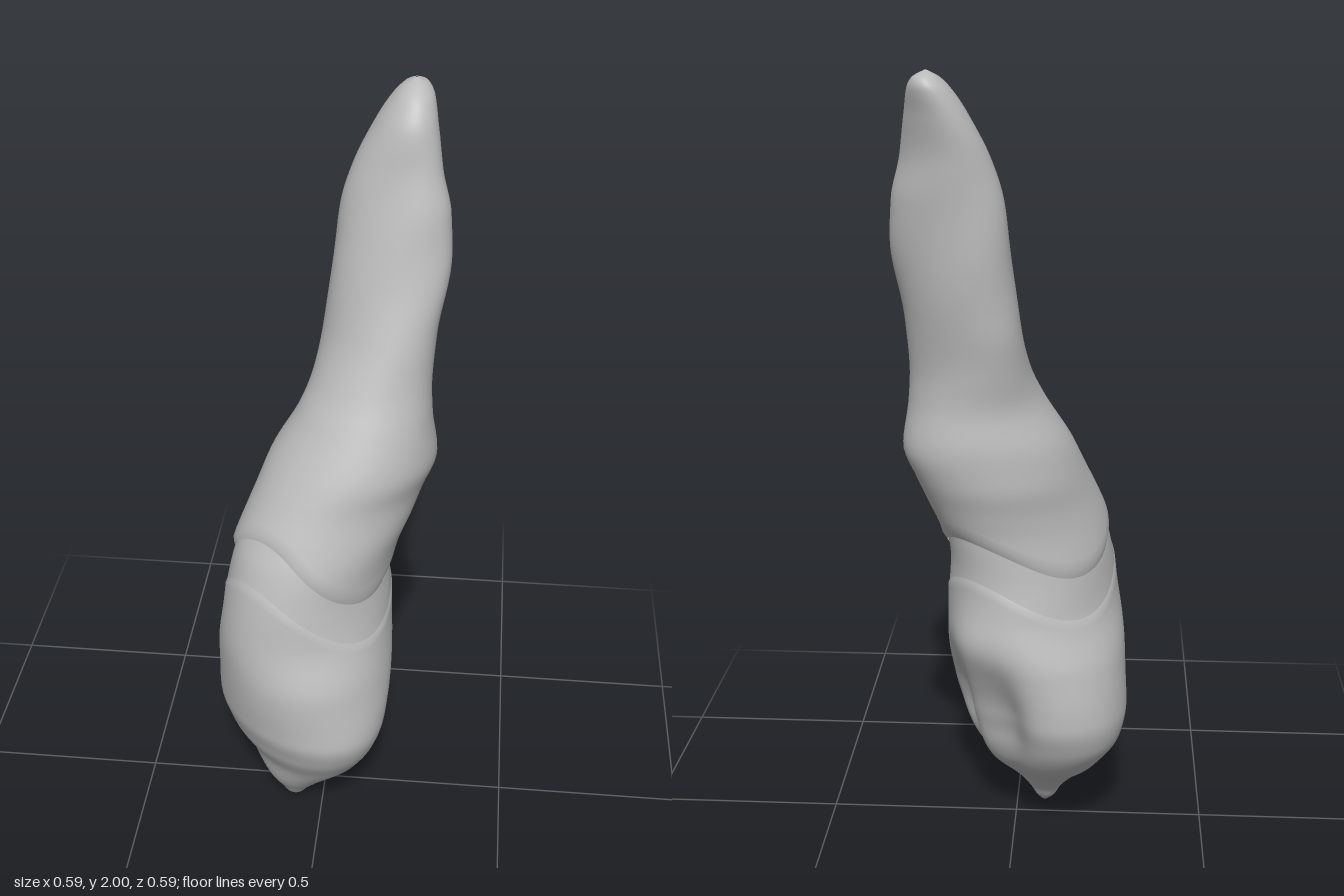
import * as THREE from 'three';

// Cross-sections: height, x min, x max, z min, z max, skew of the ellipse
const SECTIONS = [
  [0, -0.082, -0.068, 0.063, 0.077, 0],
  [0.02, -0.105, -0.05, 0.04, 0.1, 0],
  [0.05, -0.122, -0.03, 0.02, 0.122, 0.05],
  [0.1, -0.16, 0.012, -0.03, 0.16, 0.15],
  [0.2, -0.23, 0.115, -0.16, 0.222, 0.3],
  [0.28, -0.28, 0.155, -0.215, 0.27, 0.3],
  [0.36, -0.295, 0.175, -0.238, 0.295, 0.25],
  [0.5, -0.287, 0.185, -0.24, 0.29, 0.06],
  [0.65, -0.266, 0.178, -0.212, 0.257, -0.14],
  [0.75, -0.255, 0.176, -0.205, 0.24, -0.16],
  [0.85, -0.236, 0.195, -0.205, 0.222, -0.18],
  [0.92, -0.212, 0.222, -0.215, 0.198, -0.18],
  [1.0, -0.18, 0.25, -0.235, 0.165, -0.16],
  [1.08, -0.145, 0.28, -0.24, 0.138, -0.1],
  [1.2, -0.075, 0.264, -0.225, 0.085, 0],
  [1.28, -0.045, 0.257, -0.232, 0.046, 0.12],
  [1.4, -0.02, 0.266, -0.25, 0, 0.25],
  [1.6, 0.002, 0.291, -0.265, -0.06, 0.26],
  [1.7, 0.016, 0.287, -0.27, -0.085, 0.27],
  [1.8, 0.045, 0.262, -0.276, -0.11, 0.27],
  [1.9, 0.095, 0.247, -0.29, -0.13, 0.22],
  [1.96, 0.135, 0.236, -0.296, -0.165, 0.1],
  [1.985, 0.16, 0.221, -0.285, -0.198, 0],
  [2.0, 0.187, 0.193, -0.243, -0.237, 0],
];

// Smooth interpolation of the sections at height y
function sectionAt(y) {
  const S = SECTIONS, n = S.length;
  let i = 0;
  while (i < n - 2 && y > S[i + 1][0]) i++;
  const a = S[i], b = S[i + 1], h = b[0] - a[0];
  const t = THREE.MathUtils.clamp((y - a[0]) / h, 0, 1);
  const slope = (j, k) => {
    const p = S[Math.max(j - 1, 0)], q = S[Math.min(j + 1, n - 1)], m = S[j];
    if (p === m || q === m) return (q[k] - p[k]) / (q[0] - p[0]);
    const d0 = (m[k] - p[k]) / (m[0] - p[0]), d1 = (q[k] - m[k]) / (q[0] - m[0]);
    return d0 * d1 <= 0 ? 0 : (2 * d0 * d1) / (d0 + d1);
  };
  const t2 = t * t, t3 = t2 * t;
  return [1, 2, 3, 4, 5].map((k) =>
    (2 * t3 - 3 * t2 + 1) * a[k] + (t3 - 2 * t2 + t) * h * slope(i, k) +
    (3 * t2 - 2 * t3) * b[k] + (t3 - t2) * h * slope(i + 1, k));
}

const gauss = (d, w) => Math.exp(-((d / w) ** 2));
// The inner (hollowed) face of the tooth points towards +x, -z
const inward = (t) => (Math.cos(t) - Math.sin(t)) * Math.SQRT1_2;
const sideways = (t) => (Math.cos(t) + Math.sin(t)) * Math.SQRT1_2;

// Scalloped lines: high on the outer and inner faces, low at the sides
const scallop = (mean) => (t) => {
  const c = inward(t);
  return mean + 0.07 * (2 * c * c - 1) - 0.034 * c;
};
const crownLine = scallop(0.711);
const rootLine = scallop(0.815);

function surfacePoint(y, t, scale) {
  const [x0, x1, z0, z1, skew] = sectionAt(y);
  const c = Math.cos(t), s = Math.sin(t);
  let x = (x0 + x1) / 2 + scale * (x1 - x0) / 2 * c;
  let z = (z0 + z1) / 2 + scale * (z1 - z0) / 2 * (skew * c + Math.sqrt(1 - skew * skew) * s);
  // Two hollows with a ridge between them on the inner face
  const w = Math.abs(sideways(t));
  const facing = THREE.MathUtils.smoothstep(inward(t), 0.1, 0.7);
  const hollow = 0.045 * facing * gauss(y - 0.33, 0.16) * gauss(w - 0.36, 0.24);
  // Rounded swelling above the hollows
  const swell = 0.014 * facing * gauss(y - 0.57, 0.07) * gauss(w, 0.5);
  // Slight unevenness
  const ripple = 0.003 * Math.sin(3 * t + 9 * y) * Math.sin(13 * y) * Math.min(1, y * 4, (2 - y) * 4);
  x += (swell - hollow) * Math.SQRT1_2 + ripple * c;
  z -= (swell - hollow) * Math.SQRT1_2 - ripple * s;
  return [x, y, z];
}

// Skin between two height curves; ease spaces the rings
function skin(name, material, lower, upper, rings, scaleAt, ease = (v) => v) {
  const sides = 96, pos = [], idx = [];
  for (let r = 0; r <= rings; r++) {
    const v = ease(r / rings);
    for (let i = 0; i < sides; i++) {
      const t = (i / sides) * Math.PI * 2;
      pos.push(...surfacePoint(THREE.MathUtils.lerp(lower(t), upper(t), v), t, scaleAt(r / rings)));
      if (r === rings) continue;
      const a = r * sides + i, b = r * sides + (i + 1) % sides;
      idx.push(a, a + sides, b, b, a + sides, b + sides);
    }
  }
  const g = new THREE.BufferGeometry();
  g.setAttribute('position', new THREE.Float32BufferAttribute(pos, 3));
  g.setIndex(idx);
  g.computeVertexNormals();
  const mesh = new THREE.Mesh(g, material);
  mesh.name = name;
  return mesh;
}

export function createModel() {
  const group = new THREE.Group();
  group.name = 'tooth';
  const grey = new THREE.MeshStandardMaterial({ color: 0xbcbcbc, side: THREE.DoubleSide });
  grey.name = 'plain grey';

  group.add(
    // Pointed crown, with its top edge turned in
    skin('crown', grey, () => 0, crownLine, 60, (v) => (v > 0.99 ? 0.975 : 1), (v) => v ** 1.4),
    // Recessed neck tucked under the root
    skin('neck', grey, (t) => crownLine(t) - 0.01, (t) => rootLine(t) + 0.03, 10, (v) => 0.985 - 0.045 * v),
    // Long curved root, with its lower edge turned in
    skin('root', grey, rootLine, () => 2, 80, (v) => (v < 0.005 ? 0.965 : 1), (v) => 1 - (1 - v) ** 1.5),
  );
  return group;
}
